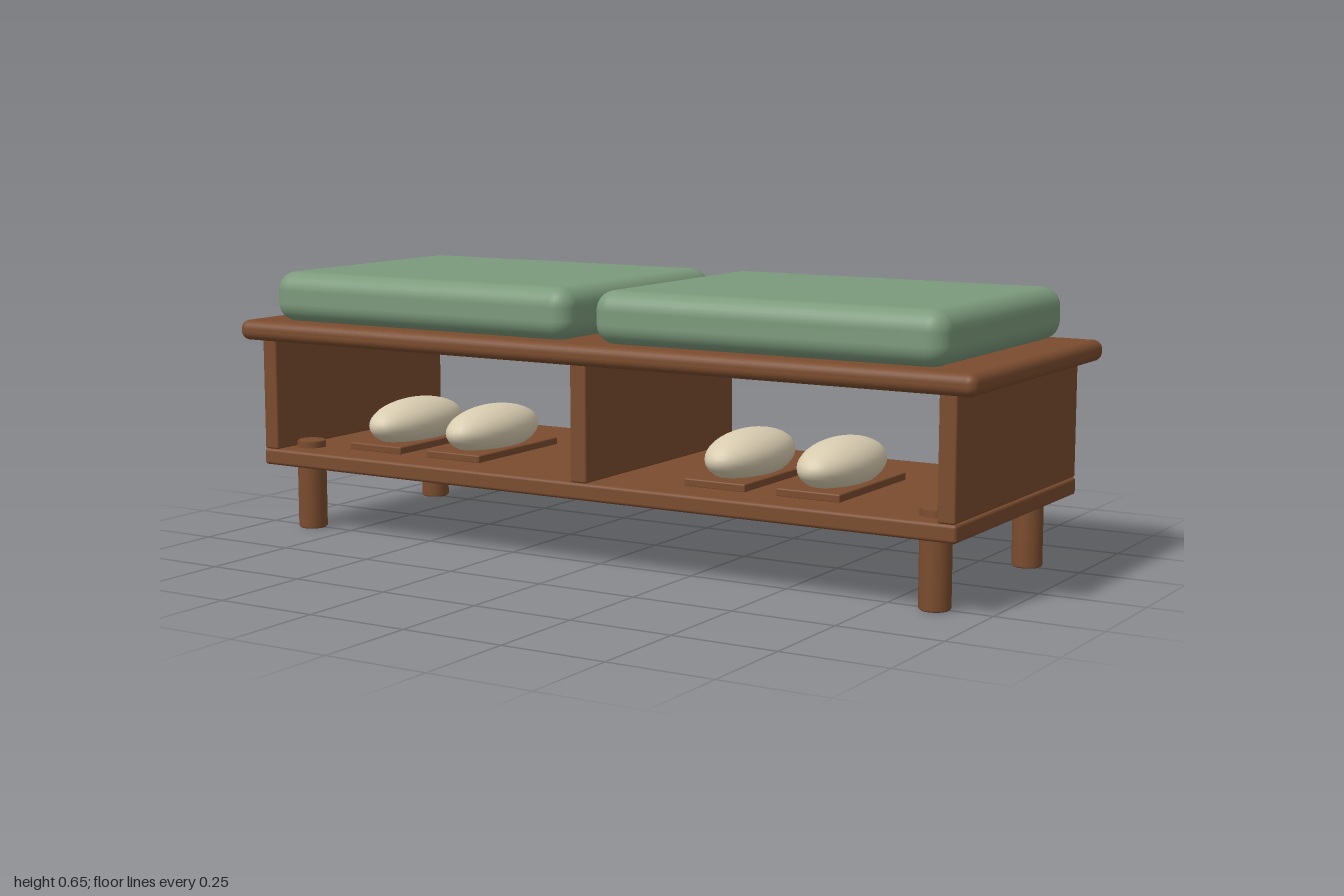
import * as THREE from 'three';
import { RoundedBoxGeometry } from 'three/addons/geometries/RoundedBoxGeometry.js';

const wood = new THREE.MeshStandardMaterial({ color: 0x7a4c2e });
wood.name = 'walnut wood';
const fabric = new THREE.MeshStandardMaterial({ color: 0x7c9a7c });
fabric.name = 'sage fabric';
const cream = new THREE.MeshStandardMaterial({ color: 0xd8ccb0 });
cream.name = 'cream';

export function createModel() {
  const bench = new THREE.Group();
  bench.name = 'shoeBench';

  const add = (name, geometry, material, x, y, z) => {
    const mesh = new THREE.Mesh(geometry, material);
    mesh.name = name;
    mesh.position.set(x, y, z);
    bench.add(mesh);
    return mesh;
  };
  // Rounded box given by its bottom and top heights
  const slab = (name, material, width, depth, y0, y1, radius, x = 0, z = 0) =>
    add(name, new RoundedBoxGeometry(width, y1 - y0, depth, 4, radius), material, x, (y0 + y1) / 2, z);

  // Carcass: seat board, shelf and upright panels, open at front and back
  slab('seatBoard', wood, 2, 0.742, 0.482, 0.532, 0.022);
  slab('shelf', wood, 1.9, 0.682, 0.166, 0.207, 0.008);
  slab('middlePanel', wood, 0.044, 0.682, 0.207, 0.486, 0.005);

  // Leg profile with softened rims; the top pokes through the shelf
  const r = 0.036, h = 0.225, b = 0.004;
  const legGeometry = new THREE.LatheGeometry([
    [0, 0], [r - b, 0], [r, b], [r, h - b], [r - b, h], [0, h],
  ].map(([x, y]) => new THREE.Vector2(x, y)), 28);

  for (const side of [-1, 1]) {
    const prefix = side > 0 ? 'left' : 'right';
    slab(prefix + 'Panel', wood, 0.042, 0.682, 0.207, 0.486, 0.005, side * 0.926);
    slab(prefix + 'Cushion', fabric, 0.882, 0.682, 0.531, 0.655, 0.046, side * 0.473);
    for (const end of [-1, 1]) {
      add(prefix + (end > 0 ? 'FrontLeg' : 'BackLeg'), legGeometry, wood, side * 0.866, 0, end * 0.257);
    }
  }

  // Shoes resting on small trays
  const shoeGeometry = new THREE.SphereGeometry(1, 32, 20).scale(0.08, 0.06, 0.165);
  for (const x of [-0.675, -0.435, 0.305, 0.545]) {
    slab('shoeTray', wood, 0.16, 0.34, 0.205, 0.225, 0.004, x, 0.07);
    add('shoe', shoeGeometry, cream, x, 0.265, 0.07);
  }
  return bench;
}
